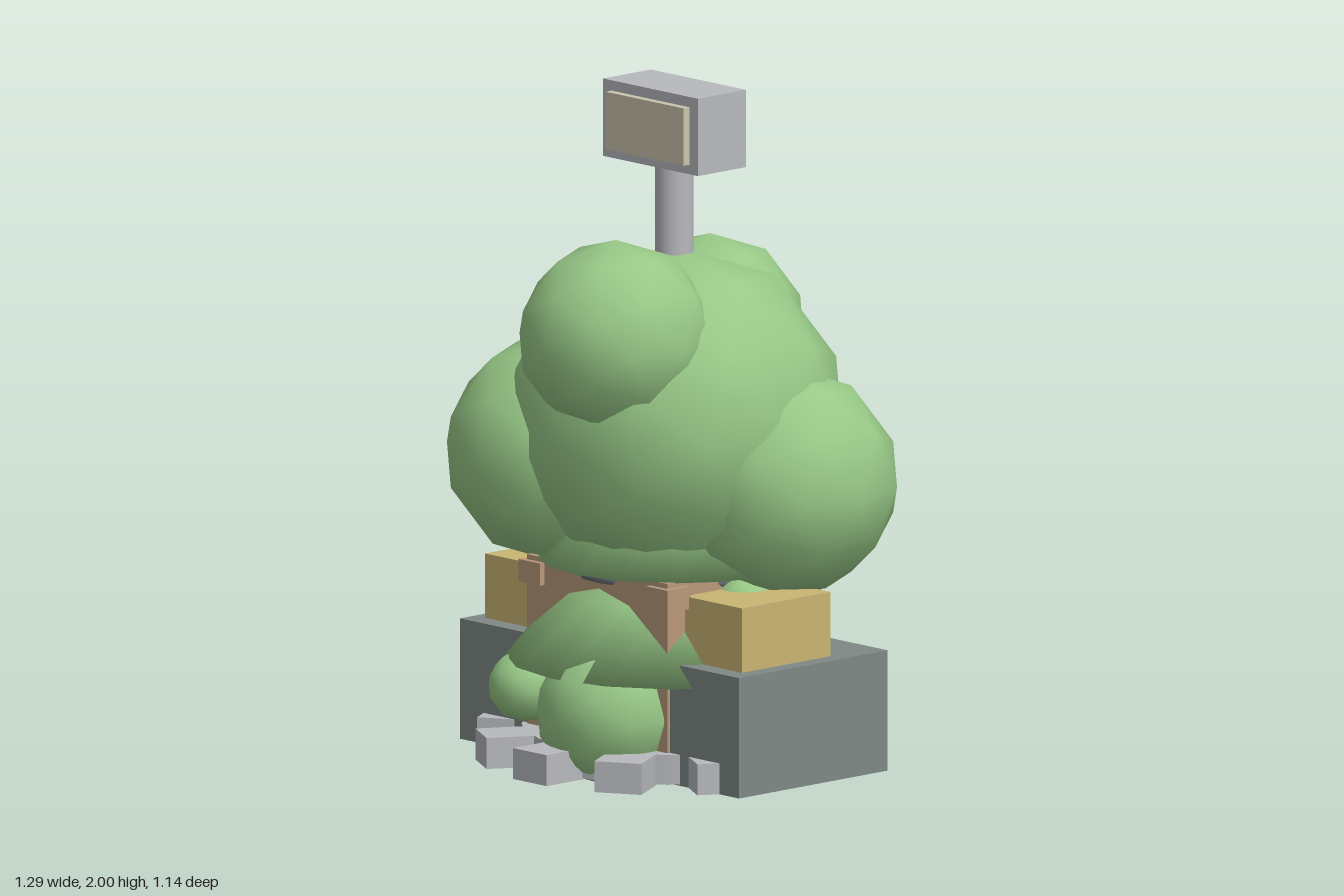
import * as THREE from 'three';
import { mergeVertices } from 'three/addons/utils/BufferGeometryUtils.js';

const paint = (name, color) => {
  const m = new THREE.MeshStandardMaterial({ color });
  m.name = name;
  return m;
};

export function createModel() {
  const leaf = paint('leafGreen', 0x98c987);
  const wood = paint('woodBrown', 0xb99a7b);
  const slate = paint('slateGrey', 0x7f8985);
  const straw = paint('strawYellow', 0xc9b673);
  const metal = paint('lightMetal', 0xb8b9be);
  const cream = paint('creamPanel', 0xcac5ae);
  const rock = paint('rockGrey', 0x77787c);
  const dark = paint('darkSteel', 0x69717a);
  rock.flatShading = true;

  const model = new THREE.Group();
  const add = (name, geometry, material, x = 0, y = 0, z = 0) => {
    const mesh = new THREE.Mesh(geometry, material);
    mesh.name = name;
    mesh.position.set(x, y, z);
    model.add(mesh);
    return mesh;
  };
  // box given by its two opposite corners
  const box = (name, material, [x0, y0, z0], [x1, y1, z1]) =>
    add(name, new THREE.BoxGeometry(x1 - x0, y1 - y0, z1 - z0), material,
      (x0 + x1) / 2, (y0 + y1) / 2, (z0 + z1) / 2);
  const ball = (name, r, x, y, z) =>
    add(name, new THREE.IcosahedronGeometry(r, 1), leaf, x, y, z);
  // cone whose normals blend softly over the rim
  const skirt = (name, r, h, y) => {
    const g = new THREE.ConeGeometry(r, h, 16, 3);
    g.deleteAttribute('normal');
    g.deleteAttribute('uv');
    const soft = mergeVertices(g, 1e-4);
    soft.computeVertexNormals();
    add(name, soft, leaf, 0, y + h / 2, 0);
  };

  // Toothed base wheel
  add('baseWheel', new THREE.CylinderGeometry(0.44, 0.44, 0.086, 24), metal, 0, 0.097, 0);
  for (let i = 0; i < 12; i++) {
    const a = (i / 12) * Math.PI * 2;
    const tooth = add('wheelTooth', new THREE.BoxGeometry(0.14, 0.09, 0.15), metal,
      Math.sin(a) * 0.495, 0.095, Math.cos(a) * 0.495);
    tooth.rotation.y = a;
  }

  // Tilted stone under the base
  const stone = add('baseStone', new THREE.IcosahedronGeometry(1, 0), rock, -0.02, 0.045, -0.02);
  stone.scale.set(0.26, 0.035, 0.18);
  stone.rotation.z = -0.06;

  // Stacked body blocks
  box('sideBlock', slate, [-0.59, 0.05, -0.29], [0.573, 0.4, 0.29]);
  box('strawBlock', straw, [-0.547, 0.39, -0.113], [0.523, 0.587, 0.232]);
  box('trunk', wood, [-0.3, 0.048, -0.3], [0.285, 0.632, 0.3]);
  for (const x of [-0.273, 0.258])
    for (const z of [-0.268, 0.272])
      add('cornerBracket', new THREE.BoxGeometry(0.09, 0.065, 0.09), wood, x, 0.585, z);
  const band = add('trunkBand', new THREE.TorusGeometry(0.295, 0.016, 8, 32), dark, -0.007, 0.606, 0);
  band.rotation.x = Math.PI / 2;

  // Leaf skirts
  skirt('lowerSkirt', 0.485, 0.62, 0.34);
  skirt('upperSkirt', 0.395, 0.55, 0.63);

  // Crown of foliage
  ball('crown', 0.49, 0, 1.04, 0);
  ball('frontFoliage', 0.285, 0.05, 1.31, 0.28);
  ball('backFoliage', 0.275, -0.14, 1.235, -0.265);
  ball('rightFoliage', 0.335, -0.31, 0.92, 0.16);
  ball('leftFoliage', 0.335, 0.31, 0.875, -0.13);

  // Bushes round the trunk
  ball('frontBush', 0.225, 0.05, 0.23, 0.29);
  ball('backBush', 0.225, -0.05, 0.23, -0.275);
  ball('smallFrontBush', 0.105, -0.29, 0.255, 0.32);
  ball('smallBackBush', 0.105, 0.27, 0.255, -0.32);
  ball('sideSprout', 0.1, 0.31, 0.525, 0.02);

  // Post with sign box on top
  add('post', new THREE.CylinderGeometry(0.055, 0.055, 0.42, 20), metal, -0.007, 1.58, 0);
  box('signBox', metal, [-0.205, 1.775, -0.095], [0.19, 2, 0.092]);
  box('signPanel', cream, [-0.17, 1.803, 0.09], [0.155, 1.97, 0.115]);

  return model;
}
